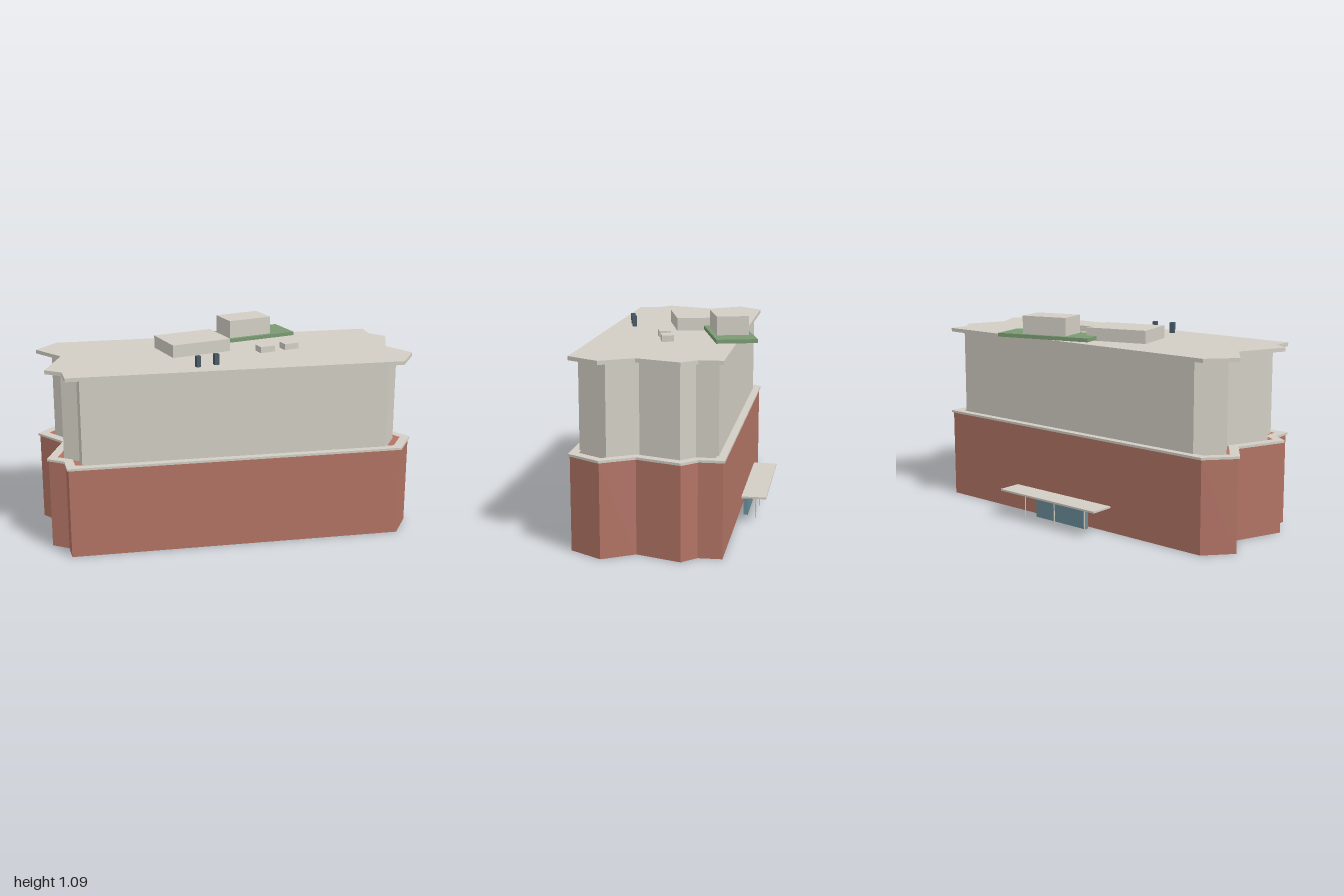
import * as THREE from 'three';

const mat = (color) => new THREE.MeshStandardMaterial({ color, flatShading: true });
const stone = mat(0xd2cec4);
const brick = mat(0xb27365);
const green = mat(0x7a9a72);
const glass = mat(0x6a8c98);
const dark = mat(0x4a5a66);

// Floor plan (x, z): a long skewed block with zigzag ends
const plan = [
  [0.76, 0.597], [0.902, 0.463], [0.852, 0.284], [0.985, 0.083], [0.935, -0.005], [0.964, -0.122],
  [-0.745, -0.598], [-0.897, -0.497], [-0.822, -0.303], [-0.988, -0.072], [-0.922, 0.005], [-0.946, 0.118],
].map(([x, z]) => new THREE.Vector2(x, z));

// Move every edge of an outline inward by d (outward if negative)
function inset(points, d) {
  const n = points.length;
  const inward = points.map((p, i) => {
    const e = points[(i + 1) % n].clone().sub(p).normalize();
    return new THREE.Vector2(e.y, -e.x);
  });
  return points.map((p, i) => {
    const a = inward[(i + n - 1) % n], b = inward[i];
    return p.clone().add(a.clone().add(b).multiplyScalar(d / (1 + a.dot(b))));
  });
}

// Upright prism from an outline, with an optional opening
function prism(name, outline, y0, y1, material, hole) {
  const shape = new THREE.Shape(outline);
  if (hole) shape.holes.push(new THREE.Path(hole));
  const geo = new THREE.ExtrudeGeometry(shape, { depth: y1 - y0, bevelEnabled: false });
  geo.rotateX(Math.PI / 2).translate(0, y1, 0);
  const mesh = new THREE.Mesh(geo, material);
  mesh.name = name;
  return mesh;
}

// Box given by its extents
function box(name, x0, x1, y0, y1, z0, z1, material) {
  const mesh = new THREE.Mesh(new THREE.BoxGeometry(x1 - x0, y1 - y0, z1 - z0), material);
  mesh.position.set((x0 + x1) / 2, (y0 + y1) / 2, (z0 + z1) / 2);
  mesh.name = name;
  return mesh;
}

export function createModel() {
  const model = new THREE.Group();
  model.name = 'building';

  // Storeys, ledge and roof
  const upper = plan.map((p) => p.clone().multiplyScalar(0.917));
  model.add(
    prism('lowerStorey', plan, 0, 0.48, brick),
    prism('ledge', inset(plan, -0.008), 0.48, 0.492, stone, inset(plan, 0.04)),
    prism('upperStorey', upper, 0.48, 0.95, stone),
    prism('roofSlab', plan, 0.95, 0.97, stone),
  );

  // Rooftop structures
  model.add(
    box('roofTerrace', -0.02, 0.515, 0.975, 0.995, -0.36, -0.148, green),
    box('penthouse', 0.12, 0.375, 0.995, 1.092, -0.337, -0.17, stone),
    box('plantRoom', -0.3, 0.038, 0.97, 1.038, -0.255, -0.003, stone),
  );
  for (const x of [0.207, 0.355]) {
    model.add(box('roofUnit', x - 0.042, x + 0.042, 0.97, 1.003, 0.052, 0.114, stone));
  }
  for (const x of [-0.257, -0.153]) {
    model.add(box('ventPipe', x - 0.012, x + 0.012, 0.97, 1.028, 0.202, 0.226, dark));
  }

  // Entrance at the back, aligned with the slanted wall
  const entrance = new THREE.Group();
  entrance.name = 'entrance';
  entrance.position.set(0.1135, 0, -0.363);
  entrance.rotation.y = -0.27;
  entrance.add(
    box('canopy', -0.337, 0.337, 0.141, 0.151, -0.155, -0.025, stone),
    box('glassDoors', -0.178, 0.178, 0, 0.13, -0.044, -0.02, glass),
  );
  for (const x of [-0.215, 0, 0.215]) {
    const post = new THREE.Mesh(new THREE.CylinderGeometry(0.003, 0.003, 0.141, 8), stone);
    post.name = 'canopyPost';
    post.position.set(x, 0.0705, -0.09);
    entrance.add(post);
  }
  model.add(entrance);

  return model;
}
